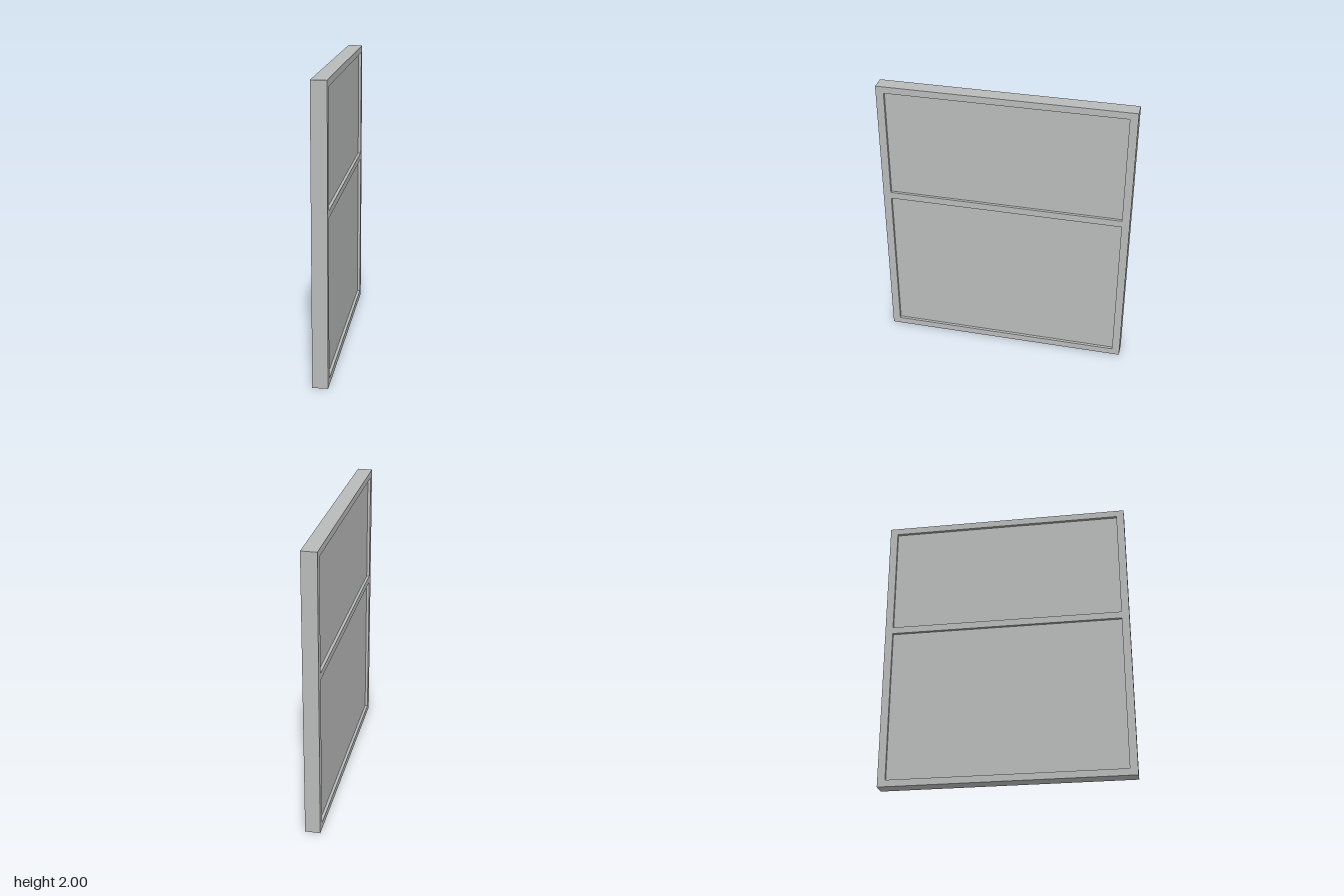
import * as THREE from 'three';

// Outer size and openings, as [bottom, top]
const WIDTH = 1.736, HEIGHT = 2, DEPTH = 0.104;
const HALF_OPENING = 0.814;
const OPENINGS = [[0.047, 1.132], [1.18, 1.953]];
const PANE_DEPTH = 0.064;

function rectangle(target, x0, y0, x1, y1) {
  target.moveTo(x0, y0);
  target.lineTo(x1, y0);
  target.lineTo(x1, y1);
  target.lineTo(x0, y1);
  target.closePath();
  return target;
}

export function createModel() {
  const group = new THREE.Group();
  group.name = 'windowPanel';
  const grey = new THREE.MeshStandardMaterial({ color: 0xb9bbba });
  grey.name = 'pale grey';

  // Frame with two openings, turned so its faces point along x
  const outline = rectangle(new THREE.Shape(), -WIDTH / 2, 0, WIDTH / 2, HEIGHT);
  for (const [bottom, top] of OPENINGS) {
    outline.holes.push(rectangle(new THREE.Path(), -HALF_OPENING, bottom, HALF_OPENING, top));
  }
  const frameGeometry = new THREE.ExtrudeGeometry(outline, { depth: DEPTH, bevelEnabled: false });
  frameGeometry.translate(0, 0, -DEPTH / 2).rotateY(Math.PI / 2);
  const frame = new THREE.Mesh(frameGeometry, grey);
  frame.name = 'frame';
  group.add(frame);

  // Panes recessed on both sides
  OPENINGS.forEach(([bottom, top], i) => {
    const pane = new THREE.Mesh(new THREE.BoxGeometry(PANE_DEPTH, top - bottom, HALF_OPENING * 2), grey);
    pane.position.y = (bottom + top) / 2;
    pane.name = i === 0 ? 'lowerPane' : 'upperPane';
    group.add(pane);
  });

  return group;
}
